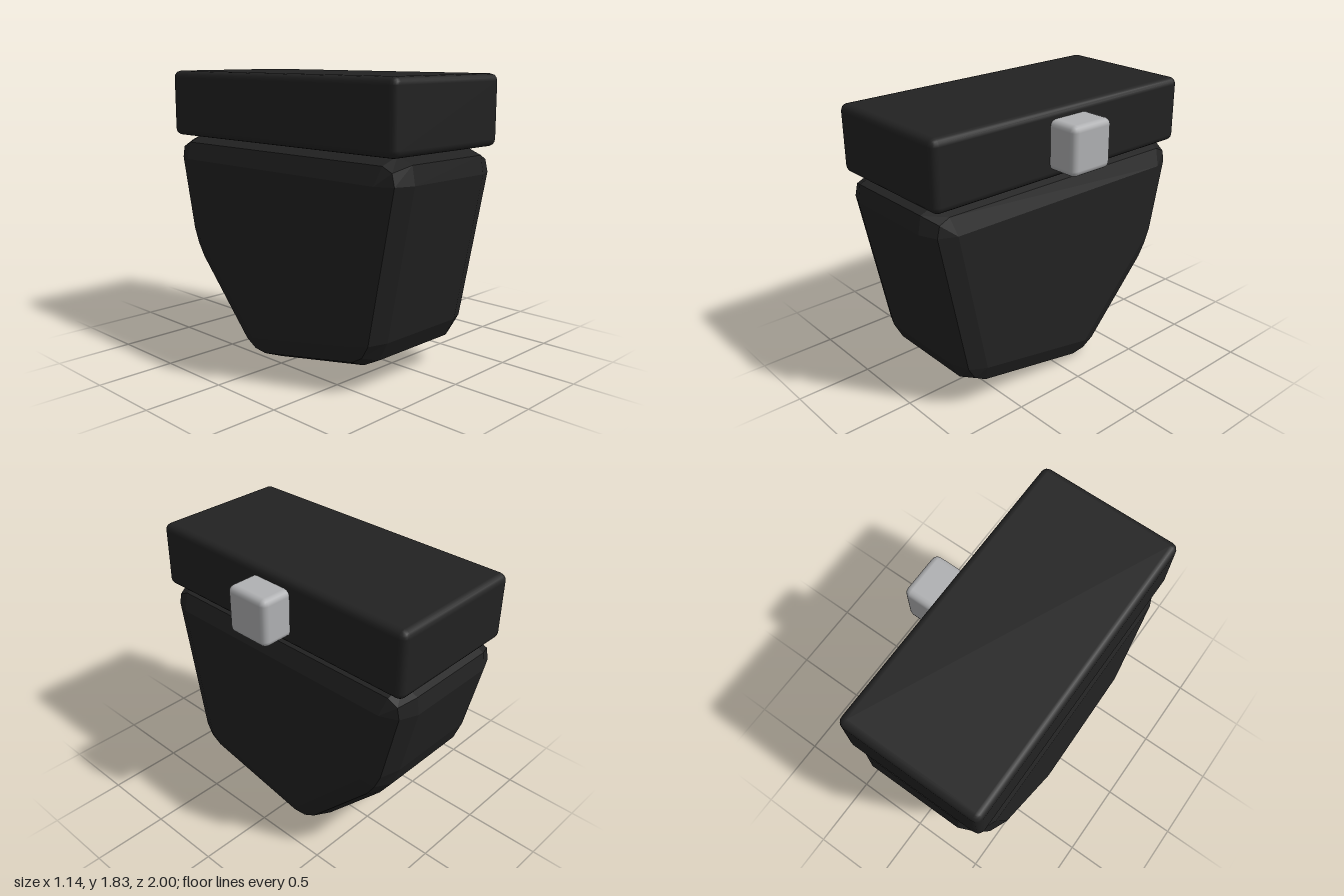
import * as THREE from 'three';
import { RoundedBoxGeometry } from 'three/addons/geometries/RoundedBoxGeometry.js';

const BEVEL = 0.155;

// Side profile of the body as unbevelled corners (z, y), counterclockwise seen from +x
const PROFILE = [
  [1.03, 1.405], [0.79, 0.173], [-0.246, -0.021], [-0.866, 0.643], [-1.034, 1.405],
].map(([z, y]) => new THREE.Vector2(z, y));

// Each profile corner becomes three points: t = 0 is the inset side face, t = 1 the full outline
function ring(x, tEdge, tCorner) {
  const n = PROFILE.length;
  const points = [];
  PROFILE.forEach((corner, i) => {
    const toPrev = PROFILE[(i + n - 1) % n].clone().sub(corner).normalize();
    const toNext = PROFILE[(i + 1) % n].clone().sub(corner).normalize();
    const sine = Math.abs(toPrev.cross(toNext));
    const inset = corner.clone().add(toPrev.clone().add(toNext).multiplyScalar(BEVEL / sine));
    const before = corner.clone().addScaledVector(toPrev, BEVEL);
    const after = corner.clone().addScaledVector(toNext, BEVEL);
    const middle = before.clone().add(after).multiplyScalar(0.5).lerp(corner, 0.46);
    [[before, tEdge], [middle, tCorner], [after, tEdge]].forEach(([target, t]) => {
      const p = inset.clone().lerp(target, t);
      points.push(new THREE.Vector3(x, p.y, p.x));
    });
  });
  return points;
}

// Flat-faceted solid lofted through rings that run from -x to +x
function loft(rings) {
  const positions = [];
  const tri = (a, b, c) => {
    const area = b.clone().sub(a).cross(c.clone().sub(a)).length();
    if (area > 1e-7) for (const p of [a, b, c]) positions.push(p.x, p.y, p.z);
  };
  const n = rings[0].length;
  const center = (r) => r.reduce((s, p) => s.add(p), new THREE.Vector3()).divideScalar(n);
  const first = rings[0], last = rings[rings.length - 1];
  const c0 = center(first), c1 = center(last);
  for (let i = 0; i < n; i++) {
    const j = (i + 1) % n;
    for (let k = 0; k < rings.length - 1; k++) {
      const a = rings[k], b = rings[k + 1];
      tri(a[i], a[j], b[i]);
      tri(a[j], b[j], b[i]);
    }
    tri(c0, first[j], first[i]);
    tri(c1, last[i], last[j]);
  }
  const geometry = new THREE.BufferGeometry();
  geometry.setAttribute('position', new THREE.Float32BufferAttribute(positions, 3));
  geometry.computeVertexNormals();
  return geometry;
}

export function createModel() {
  const black = new THREE.MeshStandardMaterial({ color: 0x222222 });
  black.name = 'black';
  const grey = new THREE.MeshStandardMaterial({ color: 0xb0b1b3 });
  grey.name = 'light grey';

  const model = new THREE.Group();
  const add = (name, geometry, material, x = 0, y = 0, z = 0) => {
    const mesh = new THREE.Mesh(geometry, material);
    mesh.name = name;
    mesh.position.set(x, y, z);
    model.add(mesh);
  };

  // Tapered body with wide two-step bevels
  add('body', loft([
    ring(-0.573, 0, 0),
    ring(-0.528, 0.7, 0.67),
    ring(-0.415, 1, 1),
    ring(0.213, 1, 1),
    ring(0.326, 0.7, 0.67),
    ring(0.371, 0, 0),
  ]), black);

  // Block-shaped lid on top
  add('lid', new RoundedBoxGeometry(0.944, 0.43, 1.98, 2, 0.045), black, -0.101, 1.62, 0);

  // Side knob on the lid
  add('sideKnob', new RoundedBoxGeometry(0.31, 0.31, 0.31, 2, 0.04), grey, 0.415, 1.62, 0);

  return model;
}
